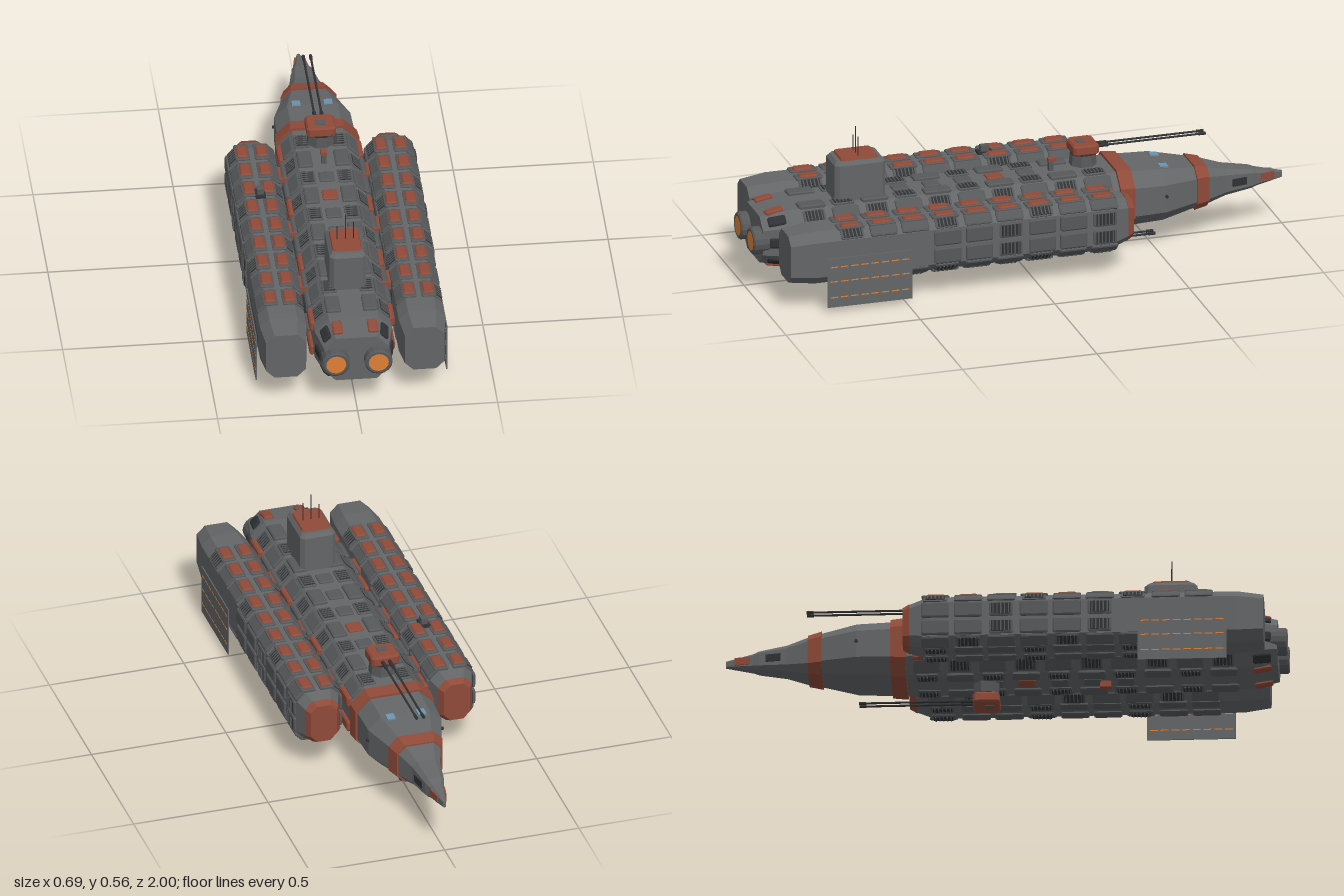
import * as THREE from 'three';

const paint = (color) => new THREE.MeshStandardMaterial({ color, flatShading: true, side: THREE.DoubleSide });
const GREY = paint(0x636567), PLATE = paint(0x56585a), DARK = paint(0x2f3134);
const RED = paint(0x8f4a38), ORANGE = paint(0xe08035), BLUE = paint(0x6c93ae);

// Chamfered-rectangle loft along z; sections: [z, halfWidth, halfHeight, chamfer, cx, cy], z ascending
function loft(sections) {
  const rings = sections.map(([z, w, h, c, cx = 0, cy = 0]) => [
    [w, c - h], [w, h - c], [w - c, h], [c - w, h], [-w, h - c], [-w, c - h], [c - w, -h], [w - c, -h],
  ].map(([x, y]) => [x + cx, y + cy, z]));
  const pos = [];
  const tri = (...pts) => pts.forEach((p) => pos.push(...p));
  for (let s = 0; s + 1 < rings.length; s++) {
    for (let i = 0; i < 8; i++) {
      const j = (i + 1) % 8, a = rings[s], b = rings[s + 1];
      tri(a[i], a[j], b[j]);
      tri(a[i], b[j], b[i]);
    }
  }
  const first = rings[0], last = rings[rings.length - 1];
  for (let i = 1; i < 7; i++) {
    tri(first[0], first[i + 1], first[i]);
    tri(last[0], last[i], last[i + 1]);
  }
  const g = new THREE.BufferGeometry();
  g.setAttribute('position', new THREE.Float32BufferAttribute(pos, 3));
  g.computeVertexNormals();
  return g;
}
// The same loft standing upright: z becomes y
const tower = (sections) => loft(sections).rotateX(-Math.PI / 2);

function add(parent, name, geo, mat, x = 0, y = 0, z = 0) {
  const m = new THREE.Mesh(geo, mat);
  m.name = name;
  m.position.set(x, y, z);
  parent.add(m);
  return m;
}
const box = (w, h, d) => new THREE.BoxGeometry(w, h, d);

// Raised plate with sloping edges, outward along local +y
function plate(w, l, h = 0.01) {
  return tower([[-0.003, w / 2, l / 2, 0.005], [h * 0.6, w / 2, l / 2, 0.005], [h, w / 2 - 0.005, l / 2 - 0.005, 0.004]]);
}
// Dark vent with cross slats
function vent(parent, w, l) {
  const g = new THREE.Group();
  g.name = 'vent';
  add(g, 'ventFrame', plate(w, l, 0.006), PLATE);
  add(g, 'ventOpening', box(w * 0.75, 0.004, l * 0.8), DARK, 0, 0.006);
  for (let i = -2; i <= 2; i++) add(g, 'ventSlat', box(w * 0.75, 0.005, l * 0.05), PLATE, 0, 0.008, i * l * 0.16);
  parent.add(g);
  return g;
}
// Group whose local +y is the outward normal of a hull facet (0 = +x side, 1 = upper chamfer, 2 = top ...)
function facet(parent, face, cx, w, h, c) {
  const a = face * Math.PI / 4, g = new THREE.Group();
  const diag = face % 2 === 1;
  g.position.set(cx + Math.sign(Math.round(Math.cos(a) * 9)) * (diag ? w - c / 2 : w),
    0.2 + Math.sign(Math.round(Math.sin(a) * 9)) * (diag ? h - c / 2 : h), 0);
  g.rotation.z = a - Math.PI / 2;
  g.name = 'hullFacet';
  parent.add(g);
  return g;
}

function twinTurret(parent, name, y, z, up, reach) {
  const t = new THREE.Group();
  t.name = name;
  t.position.set(0, y, z);
  const neck = new THREE.CylinderGeometry(0.045, 0.05, 0.05, 8).rotateY(Math.PI / 8);
  add(t, 'turretNeck', neck, PLATE, 0, -up * 0.04, 0).rotation.x = up > 0 ? 0 : Math.PI;
  add(t, 'turretCollar', new THREE.CylinderGeometry(0.046, 0.046, 0.008, 8).rotateY(Math.PI / 8), DARK, 0, -up * 0.02, 0);
  add(t, 'turretBody', tower([[-0.02, 0.046, 0.042, 0.01], [-0.013, 0.052, 0.048, 0.01], [0.013, 0.052, 0.048, 0.01], [0.02, 0.046, 0.042, 0.01]]), RED);
  add(t, 'turretHatch', box(0.035, 0.004, 0.03), PLATE, 0, up * 0.02, 0.01);
  for (const x of [-0.013, 0.013]) {
    add(t, 'barrel', new THREE.CylinderGeometry(0.004, 0.004, reach, 8).rotateX(Math.PI / 2), DARK, x, 0, -0.04 - reach / 2);
    add(t, 'barrelSleeve', new THREE.CylinderGeometry(0.007, 0.007, 0.05, 8).rotateX(Math.PI / 2), DARK, x, 0, -0.065);
    add(t, 'muzzle', new THREE.CylinderGeometry(0.006, 0.006, 0.025, 8).rotateX(Math.PI / 2), DARK, x, 0, -0.04 - reach);
  }
  parent.add(t);
}

function mainHull(root) {
  const W = 0.138, H = 0.105, C = 0.05;
  add(root, 'mainHull', loft([
    [-1, 0.006, 0.012, 0.003, 0, 0.19], [-0.9, 0.028, 0.03, 0.01, 0, 0.193], [-0.88, 0.036, 0.036, 0.012, 0, 0.194],
    [-0.78, 0.052, 0.05, 0.018, 0, 0.196], [-0.7, 0.08, 0.071, 0.028, 0, 0.198], [-0.65, 0.096, 0.078, 0.034, 0, 0.2],
    [-0.53, 0.136, 0.097, 0.046, 0, 0.2], [-0.35, 0.14, H, C, 0, 0.2], [0.86, W, H, C, 0, 0.2], [0.965, 0.115, 0.088, 0.042, 0, 0.2],
  ]), GREY);
  add(root, 'noseBand', loft([[-0.705, 0.084, 0.075, 0.029, 0, 0.198], [-0.655, 0.1, 0.084, 0.035, 0, 0.2]]), RED);
  add(root, 'neckBand', loft([[-0.41, 0.146, 0.11, 0.052, 0, 0.2], [-0.355, 0.15, 0.115, 0.053, 0, 0.2]]), RED);

  // Rows of plates and vents round every facet
  for (let f = 0; f < 8; f++) {
    const row = facet(root, f, 0, W, H, C), flat = f % 4 === 2, side = f % 4 === 0;
    for (let i = 0; i < 10; i++) {
      const z = -0.28 + i * 0.117;
      for (const u of side ? [-0.05, 0.05] : flat ? [-0.066, 0.066] : [0]) {
        const w = side ? 0.04 : 0.052;
        if ((i + f) % 2 === 0 && !side) vent(row, w, 0.08).position.set(u, 0, z);
        else add(row, 'hullPlate', plate(w, 0.098, side ? 0.014 : 0.01), side && i % 3 === 0 ? RED : PLATE, u, 0, z);
      }
      if (flat && i > 1 && i < 7) add(row, 'spinePlate', plate(0.055, 0.06, 0.007), i === 3 ? RED : PLATE, 0, 0, z);
    }
    // Sloping plates round the stern
    const stern = facet(root, f, 0, 0.126, 0.0965, 0.046);
    for (const u of flat ? [-0.063, 0.063] : [0]) {
      const p = add(stern, 'sternPlate', plate(0.036, 0.065), flat ? RED : DARK, u, 0, 0.91);
      p.rotation.x = 0.17;
    }
  }
  // Windows, vents and small ports on the bow
  for (const s of [-1, 1]) {
    add(root, 'window', box(0.03, 0.006, 0.032), BLUE, s * 0.057, 0.298, -0.54).rotation.x = -0.1;
    add(root, 'bowPort', new THREE.CylinderGeometry(0.006, 0.006, 0.012, 8).rotateZ(Math.PI / 2), DARK, s * 0.137, 0.21, -0.53);
    for (const [x, z, mat] of [[0.044, -0.83, DARK], [0.02, -0.94, RED]]) {
      add(root, 'nosePlate', box(0.006, 0.028, 0.055), mat, s * x, 0.195, z).rotation.y = s * 0.18;
    }
    // Engine with glowing exhaust
    const ring = new THREE.LatheGeometry([[0.05, -0.06], [0.05, 0.025], [0.044, 0.03], [0.036, 0.03], [0.036, 0.02]]
      .map(([r, y]) => new THREE.Vector2(r, y)), 16).rotateX(Math.PI / 2);
    add(root, 'engineNozzle', ring, PLATE, s * 0.076, 0.2, 0.97);
    add(root, 'engineGlow', new THREE.CylinderGeometry(0.036, 0.036, 0.01, 24).rotateX(Math.PI / 2), ORANGE, s * 0.076, 0.2, 0.994);
    // Struts joining the hull to the side pods
    for (const z of [-0.15, 0.2, 0.55]) {
      add(root, 'podStrut', box(0.05, 0.07, 0.12), DARK, s * 0.15, 0.2, z);
      for (const y of [0.15, 0.25]) add(root, 'strutClamp', box(0.03, 0.03, 0.08), RED, s * 0.148, y, z);
    }
  }
}

function sidePod(root, s) {
  const cx = s * 0.2475, W = 0.083, H = 0.099, C = 0.033;
  const pod = new THREE.Group();
  pod.name = s > 0 ? 'leftPod' : 'rightPod';
  root.add(pod);
  add(pod, 'podHull', loft([[-0.335, 0.06, 0.08, 0.028, cx, 0.2], [-0.27, W, H, C, cx, 0.2],
    [0.83, W, H, C, cx, 0.2], [0.925, 0.071, 0.088, 0.03, cx, 0.2]]), GREY);
  add(pod, 'podCap', loft([[-0.358, 0.048, 0.072, 0.024, cx, 0.2], [-0.333, 0.063, 0.083, 0.029, cx, 0.2]]), RED);

  for (let f = 0; f < 8; f++) {
    const row = facet(pod, f, cx, W, H, C), side = f % 4 === 0, flat = f % 4 === 2;
    for (let i = 0; i < 9; i++) {
      const z = -0.24 + i * 0.117;
      for (const u of side ? [-0.034, 0.034] : flat ? [-0.035, 0.035] : [0]) {
        if (side && i > 5) continue;
        if (f === 2) {
          add(row, 'deckFrame', plate(0.052, 0.098, 0.006), PLATE, u, 0, z);
          add(row, 'deckHatch', plate(0.04, 0.07, 0.012), RED, u, 0, z);
        } else if ((i + f) % 3 === 0) vent(row, side ? 0.055 : 0.042, 0.085).position.set(u, 0, z);
        else add(row, 'podPlate', plate(side ? 0.058 : 0.044, 0.1, 0.008), PLATE, u, 0, z);
      }
    }
  }
  // Hanging panel with lit strips on both faces
  const wing = new THREE.Group();
  wing.name = 'sidePanel';
  wing.position.set(s * 0.34, 0.112, 0.638);
  add(wing, 'panelSheet', box(0.004, 0.185, 0.315), GREY);
  for (const y of [-0.055, 0.005, 0.06]) {
    for (let i = 0; i < 8; i++) add(wing, 'panelStrip', box(0.006, 0.004, 0.028), ORANGE, 0, y, -0.133 + i * 0.038);
  }
  add(wing, 'panelMount', box(0.014, 0.03, 0.24), DARK, -s * 0.006, 0.06, 0);
  pod.add(wing);
}

function conningTower(root) {
  add(root, 'conningTower', tower([[0.29, 0.065, 0.094, 0.014, 0, -0.585], [0.438, 0.065, 0.094, 0.014, 0, -0.585],
    [0.452, 0.054, 0.083, 0.012, 0, -0.585]]), GREY);
  add(root, 'towerRoof', tower([[0.45, 0.054, 0.07, 0.008, 0, -0.585], [0.46, 0.05, 0.066, 0.008, 0, -0.585]]), RED);
  for (const [x, top, z] of [[-0.03, 0.515, 0.585], [0, 0.56, 0.585], [0.03, 0.53, 0.585]]) {
    add(root, 'antenna', new THREE.CylinderGeometry(0.0018, 0.0018, top - 0.45, 6), DARK, x, (top + 0.45) / 2, z);
  }
}

export function createModel() {
  const root = new THREE.Group();
  root.name = 'vessel';
  mainHull(root);
  sidePod(root, 1);
  sidePod(root, -1);
  conningTower(root);
  twinTurret(root, 'upperTurret', 0.383, -0.26, 1, 0.4);
  twinTurret(root, 'lowerTurret', 0.023, -0.073, -1, 0.4);
  // Small sensors on the deck, pod and keel
  add(root, 'periscope', box(0.018, 0.045, 0.018), PLATE, 0, 0.325, -0.14);
  add(root, 'periscopeHead', box(0.022, 0.012, 0.03), RED, 0, 0.346, -0.145);
  add(root, 'podSensor', box(0.024, 0.03, 0.03), PLATE, -0.245, 0.314, 0.03);
  add(root, 'podSensorBase', box(0.036, 0.012, 0.055), DARK, -0.245, 0.302, 0.03);
  add(root, 'keelSensor', box(0.02, 0.025, 0.04), RED, 0, 0.083, 0.35);
  return root;
}
